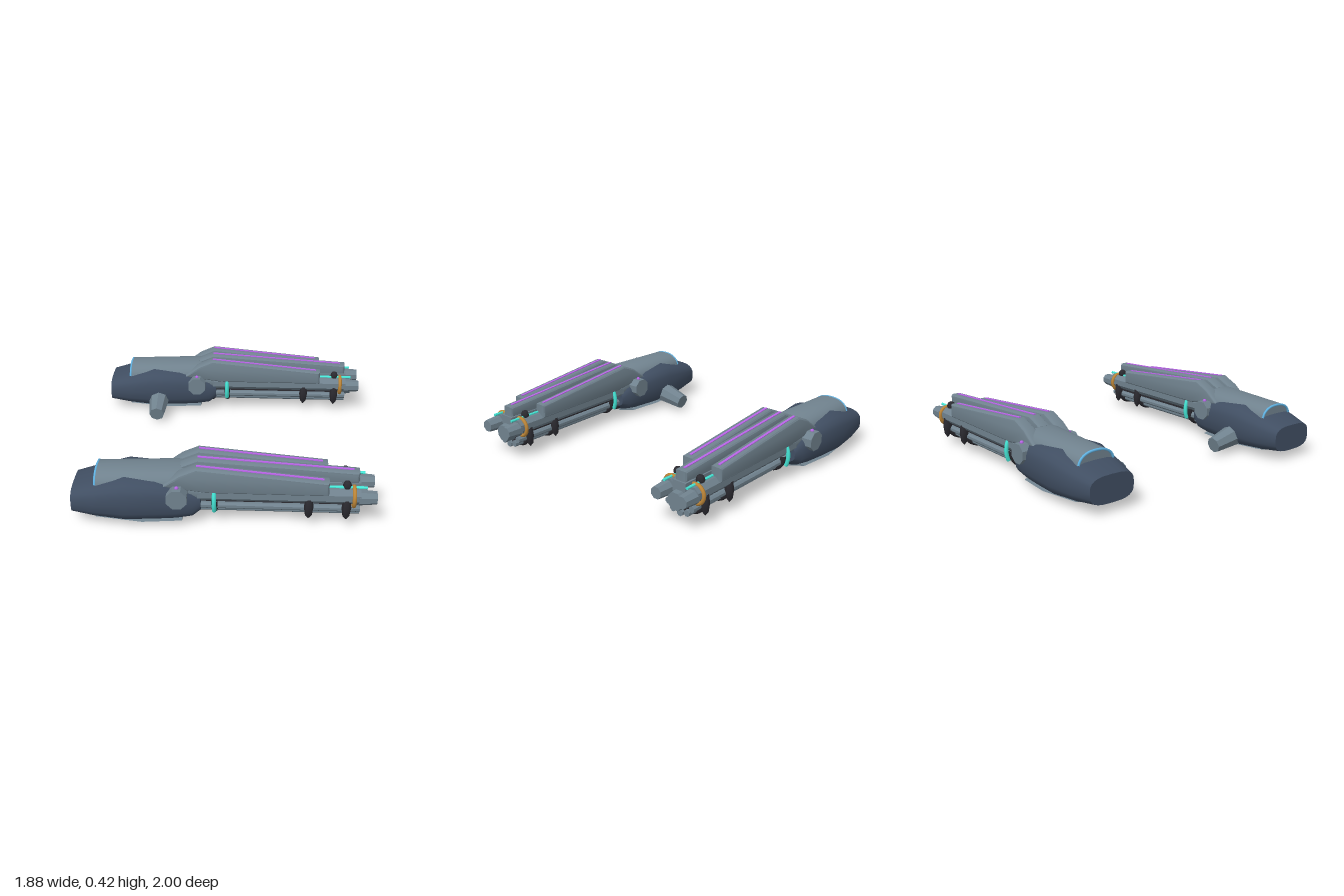
import * as THREE from 'three';
import { toCreasedNormals } from 'three/addons/utils/BufferGeometryUtils.js';

const mat = (name, color) => {
  const m = new THREE.MeshStandardMaterial({ color });
  m.name = name;
  return m;
};

// Superellipse ring in the yz plane; section = [x, bottom, top, halfWidth]
function ring([x, y0, y1, hz], n, power) {
  const pts = [];
  const f = (v) => Math.sign(v) * Math.pow(Math.abs(v), 2 / power);
  for (let i = 0; i < n; i++) {
    const a = (i / n) * Math.PI * 2;
    pts.push(new THREE.Vector3(x, (y0 + y1) / 2 + f(Math.cos(a)) * (y1 - y0) / 2, f(Math.sin(a)) * hz));
  }
  return pts;
}

// Capped skin over rings that follow each other along x
function loft(sections, n, power, crease = 0.5) {
  const pos = [], idx = [];
  sections.forEach((s) => ring(s, n, power).forEach((p) => pos.push(p.x, p.y, p.z)));
  const last = sections.length - 1;
  for (let i = 0; i < last; i++) {
    for (let j = 0; j < n; j++) {
      const a = i * n + j, b = i * n + (j + 1) % n;
      idx.push(a, b, a + n, b, b + n, a + n);
    }
  }
  for (const k of [0, last]) {
    const c = pos.length / 3, s = sections[k];
    pos.push(s[0], (s[1] + s[2]) / 2, 0);
    for (let j = 0; j < n; j++) {
      const a = k * n + j, b = k * n + (j + 1) % n;
      if (k) idx.push(c, a, b); else idx.push(c, b, a);
    }
  }
  const g = new THREE.BufferGeometry();
  g.setAttribute('position', new THREE.Float32BufferAttribute(pos, 3));
  g.setIndex(idx);
  return toCreasedNormals(g, crease);
}

// Faceted rod along x
function rod(x0, x1, r0, r1 = r0, sides = 8) {
  const g = new THREE.CylinderGeometry(r1, r0, x1 - x0, sides);
  g.rotateY(Math.PI / sides);
  g.rotateZ(-Math.PI / 2);
  g.translate((x0 + x1) / 2, 0, 0);
  return toCreasedNormals(g, 0.5);
}

// Arc of a torus lying in the yz plane; angles run from +z towards +y
function hoop(R, tube, from, arc) {
  const g = new THREE.TorusGeometry(R, tube, 8, 20, arc);
  g.rotateZ(from);
  g.rotateY(-Math.PI / 2);
  return g;
}

export function createModel() {
  const hullBlue = mat('hull slate blue', 0x404e62);
  const grey = mat('plate grey', 0x70828e);
  const black = mat('clamp black', 0x2c2b31);
  const gold = mat('ring gold', 0xbd8638);
  const teal = mat('glow teal', 0x45e6d6);
  const purple = mat('glow purple', 0xbb66ea);
  const blue = mat('glow blue', 0x68c0f4);

  function buildGun(inner) {
    const gun = new THREE.Group();
    const add = (name, geo, m, x = 0, y = 0, z = 0) => {
      const mesh = new THREE.Mesh(geo, m);
      mesh.name = name;
      mesh.position.set(x, y, z);
      gun.add(mesh);
      return mesh;
    };

    // Rear housing
    add('hull', loft([
      [-0.94, 0.06, 0.235, 0.162], [-0.8, 0.042, 0.275, 0.194], [-0.61, 0.028, 0.327, 0.222],
      [-0.42, 0.03, 0.318, 0.205], [-0.29, 0.034, 0.298, 0.188], [-0.19, 0.05, 0.255, 0.17],
      [-0.14, 0.09, 0.215, 0.145],
    ], 24, 3.1, 0.6), hullBlue);
    add('keel', loft([
      [-0.79, 0.018, 0.09, 0.15], [-0.5, 0.01, 0.075, 0.18], [-0.255, 0.0, 0.08, 0.15],
    ], 4, 2), grey);
    const cover = [[-0.785, 0.13, 0.345, 0.135], [-0.27, 0.13, 0.365, 0.148], [-0.1, 0.15, 0.3, 0.14]];
    add('topCover', loft(cover, 24, 2.4), grey);
    const rim = ring([-0.79, 0.13, 0.34, 0.132], 24, 2.4);
    const arch = new THREE.CatmullRomCurve3([...rim.slice(19), ...rim.slice(0, 6)]);
    add('rearGlow', new THREE.TubeGeometry(arch, 24, 0.008, 6), blue);

    // Mounting arm towards the middle of the model
    const armGeo = toCreasedNormals(new THREE.CylinderGeometry(0.054, 0.076, 0.2, 8), 0.3);
    const arm = add('mountArm', armGeo, grey, -0.57, 0.092, inner * 0.272);
    arm.rotation.x = inner * (Math.PI / 2 + 0.2);

    // Side pivots
    const pivot = new THREE.CylinderGeometry(0.068, 0.068, 0.43, 8);
    pivot.rotateY(Math.PI / 8);
    pivot.rotateX(Math.PI / 2);
    add('sidePivots', toCreasedNormals(pivot, 0.3), grey, -0.28, 0.228, 0);

    // Three long top fins with glowing ridges
    for (const k of [-1, 0, 1]) {
      const end = k ? 0.645 : 0.835, top = k ? 0.335 : 0.347, low = k ? 0.24 : 0.275;
      const s = new THREE.Shape([
        [k ? -0.38 : -0.27, k ? 0.28 : 0.345], [-0.27, 0.365], [-0.165, 0.412],
        [end, top], [end, low], [-0.1, 0.24],
      ].map(([x, y]) => new THREE.Vector2(x, y)));
      const g = new THREE.ExtrudeGeometry(s, {
        depth: 0.047, bevelThickness: 0.02, bevelSize: 0.02, bevelOffset: -0.02, bevelSegments: 3,
      });
      g.translate(0, 0, -0.0235);
      add('topFin', toCreasedNormals(g, 0.5), grey, 0, 0, k * 0.11);
      const slope = (top - 0.412) / (end + 0.165);
      const x0 = -0.165, x1 = k ? 0.615 : 0.8;
      const mid = (x0 + x1) / 2;
      const strip = add('finGlow', new THREE.BoxGeometry(x1 - x0, 0.009, 0.017), purple,
        mid, 0.412 + slope * (mid + 0.165), k * 0.11);
      strip.rotation.z = Math.atan(slope);
    }

    // Central core and its muzzle
    add('core', rod(-0.16, 0.82, 0.085), black, 0, 0.165, 0);
    add('coreBarrel', rod(0.8, 0.885, 0.066, 0.06), grey, 0, 0.165, 0);
    add('coreTop', new THREE.BoxGeometry(0.3, 0.07, 0.1), grey, 0.695, 0.245, 0);

    // Lower tubes fanned around the core
    for (let i = -2; i <= 2; i++) {
      const a = i * 0.56;
      add('lowerTube', rod(-0.17, 0.84, 0.022), grey,
        0, 0.165 - Math.cos(a) * 0.091, Math.sin(a) * 0.1);
    }

    // Strap clamps under the barrels
    for (const x of [-0.165, -0.055, 0.525, 0.755]) {
      const clamp = add('clamp', hoop(0.106, 0.02, Math.PI - 0.05, Math.PI + 0.1), black, x, 0.165, 0);
      clamp.scale.z = 1.06;
    }

    for (const s of [-1, 1]) {
      // Pair of side barrels with outward gold arcs
      add('sideBarrel', rod(-0.16, 0.84, 0.054), grey, 0, 0.222, s * 0.092);
      add('sideMuzzle', rod(0.83, 0.94, 0.05, 0.041), grey, 0, 0.21, s * 0.097);
      add('goldArc', hoop(0.062, 0.013, s > 0 ? -1.9 : Math.PI / 2 - 0.3, 3.77), gold, 0.8, 0.213, s * 0.088);

      // Glowing lines, bands and pivot lights
      add('tealLine', rod(0.64, 0.88, 0.009), teal, 0, 0.275, s * 0.088);
      add('tealBand', hoop(0.15, 0.014, s > 0 ? -0.45 : Math.PI - 0.45, 0.9), teal, -0.055, 0.175, 0);
      add('pivotGlow', new THREE.SphereGeometry(0.013, 8, 6), purple, -0.28, 0.293, s * 0.178);

      // Pointed clamp ends
      for (const x of [0.525, 0.755]) {
        const tip = add('clampTip', new THREE.SphereGeometry(1, 6, 4), black, x, 0.15, s * 0.125);
        tip.scale.set(0.03, 0.085, 0.027);
      }
      const knob = add('topKnob', new THREE.SphereGeometry(1, 6, 4), black, 0.755, 0.288, s * 0.086);
      knob.scale.set(0.028, 0.034, 0.03);
    }
    return gun;
  }

  const model = new THREE.Group();
  for (const s of [-1, 1]) {
    const gun = buildGun(-s);
    gun.name = s > 0 ? 'frontGun' : 'rearGun';
    gun.position.z = s * 0.777;
    model.add(gun);
  }
  return model;
}
